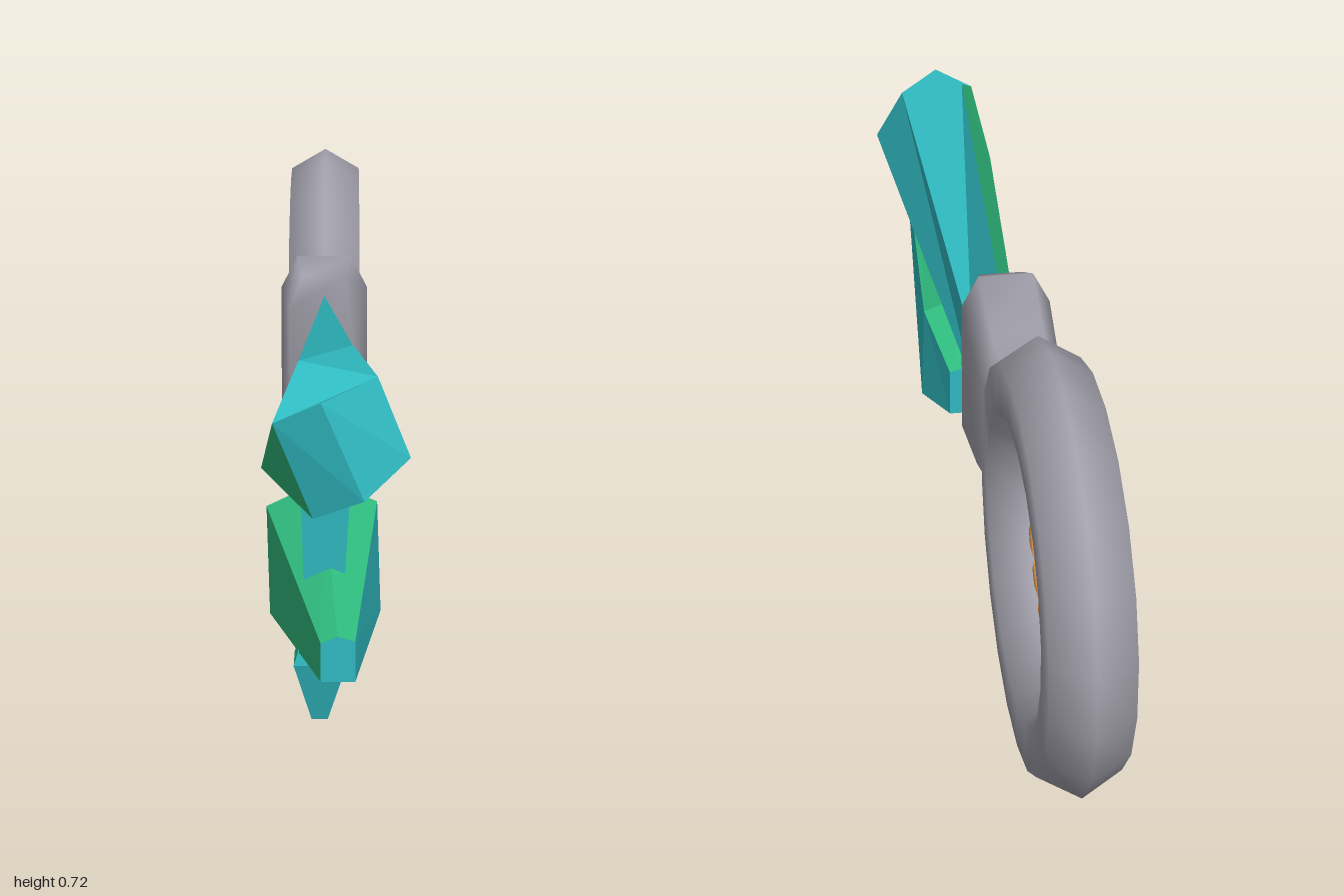
import * as THREE from 'three';
import { mergeVertices } from 'three/addons/utils/BufferGeometryUtils.js';

const material = (name, color) => {
  const m = new THREE.MeshStandardMaterial({ color });
  m.name = name;
  return m;
};
const grey = material('grey metal', 0xa09faa);
const teal = material('teal crystal', 0x2fb9c0);
const green = material('green crystal', 0x2fbd7e);
const orange = material('orange trim', 0xd08a45);

// Joins matching cross-sections (counterclockwise seen from the far end).
// codes: one letter per side, then near cap and far cap; t = teal, g = green.
function loft(sections, codes) {
  const n = sections[0].length, pos = [], groups = [];
  const tri = (code, ...pts) => {
    groups.push([pos.length / 3, code === 'g' ? 1 : 0]);
    pts.forEach(p => pos.push(...p));
  };
  for (let s = 0; s < sections.length - 1; s++) {
    const p = sections[s], q = sections[s + 1];
    for (let i = 0; i < n; i++) {
      const j = (i + 1) % n;
      tri(codes[i], p[i], p[j], q[j]);
      tri(codes[i], p[i], q[j], q[i]);
    }
  }
  const near = sections[0], far = sections[sections.length - 1];
  for (let i = 1; i < n - 1; i++) {
    tri(codes[n], near[0], near[i + 1], near[i]);
    tri(codes[n + 1], far[0], far[i], far[i + 1]);
  }
  const g = new THREE.BufferGeometry();
  g.setAttribute('position', new THREE.Float32BufferAttribute(pos, 3));
  groups.forEach(([start, m]) => g.addGroup(start, 3, m));
  g.computeVertexNormals();
  return g;
}

function smooth(g) {
  g.deleteAttribute('normal');
  g.deleteAttribute('uv');
  g.clearGroups();
  const merged = mergeVertices(g, 1e-4);
  merged.computeVertexNormals();
  return merged;
}

export function createModel() {
  const model = new THREE.Group();
  const add = (name, geometry, mat) => {
    const mesh = new THREE.Mesh(geometry, mat);
    mesh.name = name;
    model.add(mesh);
    return mesh;
  };
  const crystal = [teal, green];

  // Oval ring handle: a six-sided torus stretched lengthwise, then tilted
  const stretch = (g) => {
    const p = g.attributes.position;
    for (let i = 0; i < p.count; i++) {
      const u = Math.atan2(p.getY(i), p.getX(i));
      p.setX(i, p.getX(i) + 0.06 * Math.cos(u));
    }
    g.rotateZ(-0.2);
    g.rotateY(-Math.PI / 2);
    g.translate(-0.023, 0.37, -0.6);
    return g;
  };
  add('ringHandle', smooth(stretch(new THREE.TorusGeometry(0.272, 0.075, 6, 20))), grey);

  // Thin trim line on the front inner side of the ring
  const trim = new THREE.TorusGeometry(0.198, 0.004, 4, 14, 2.3);
  trim.rotateZ(-1.15);
  add('innerTrim', stretch(trim), orange);

  // Rounded collar between ring and shaft
  const octagon = (z, y0, y1, hw) => {
    const cx = -0.021, k = 0.055, w = hw * 0.62;
    return [[w, y1], [-w, y1], [-hw, y1 - k], [-hw, y0 + k], [-w, y0], [w, y0], [hw, y0 + k], [hw, y1 - k]]
      .map(([x, y]) => [cx + x, y, z]);
  };
  add('collar', smooth(loft([
    octagon(-0.3, 0.285, 0.542, 0.06),
    octagon(-0.22, 0.26, 0.555, 0.069),
    octagon(-0.07, 0.24, 0.587, 0.075),
    octagon(-0.01, 0.272, 0.558, 0.06),
  ], 'tttttttttt')), grey);

  // Faceted shaft, widening toward a bevelled tip
  add('shaft', loft([
    [[-0.02, 0.525, -0.02], [-0.055, 0.42, -0.02], [-0.03, 0.345, -0.02], [0.03, 0.35, -0.02], [0.03, 0.437, -0.02]],
    [[-0.052, 0.547, 0.765], [-0.107, 0.387, 0.76], [-0.03, 0.336, 0.8], [0.11, 0.417, 0.83], [0.063, 0.527, 0.785]],
    [[-0.087, 0.48, 0.895], [-0.087, 0.48, 0.895], [-0.03, 0.34, 0.885], [0.043, 0.372, 0.915], [-0.018, 0.512, 0.915]],
  ], 'gggtttt'), crystal);

  // Lower blade, widest near its back and tapering forward
  add('blade', loft([
    [[-0.02, 0.215, 0.265], [-0.065, 0.2, 0.265], [-0.065, 0.11, 0.265], [0.035, 0.11, 0.265], [0.035, 0.2, 0.265]],
    [[-0.02, 0.29, 0.4], [-0.11, 0.247, 0.4], [-0.105, 0.07, 0.4], [0.073, 0.075, 0.4], [0.067, 0.255, 0.4]],
    [[0.005, 0.2, 1], [-0.018, 0.19, 1], [-0.018, 0.135, 1], [0.03, 0.135, 1], [0.03, 0.193, 1]],
  ], 'ggttgtt'), crystal);

  // Two struts joining shaft and blade, each continued by a spike below
  const rect = (y, x0, x1, z0, z1) => [[x0, y, z1], [x1, y, z1], [x1, y, z0], [x0, y, z0]];
  for (const [label, z, r] of [['front', 0.73, 0.034], ['rear', 0.535, 0.03]]) {
    add(label + 'Strut', loft([
      rect(0.2, -0.045, 0.014, z - r * 0.8, z + r * 0.8),
      rect(0.38, -0.05, 0.025, z - r, z + r),
    ], 'ttggtt'), crystal);
    add(label + 'Spike', loft([
      rect(0, -0.034, -0.01, z - 0.012, z + 0.012),
      rect(0.09, -0.06, 0.018, z - r * 1.15, z + r * 1.15),
      rect(0.14, -0.045, 0.014, z - r * 0.9, z + r * 0.9),
    ], 'ttggtt'), crystal);
  }
  return model;
}
